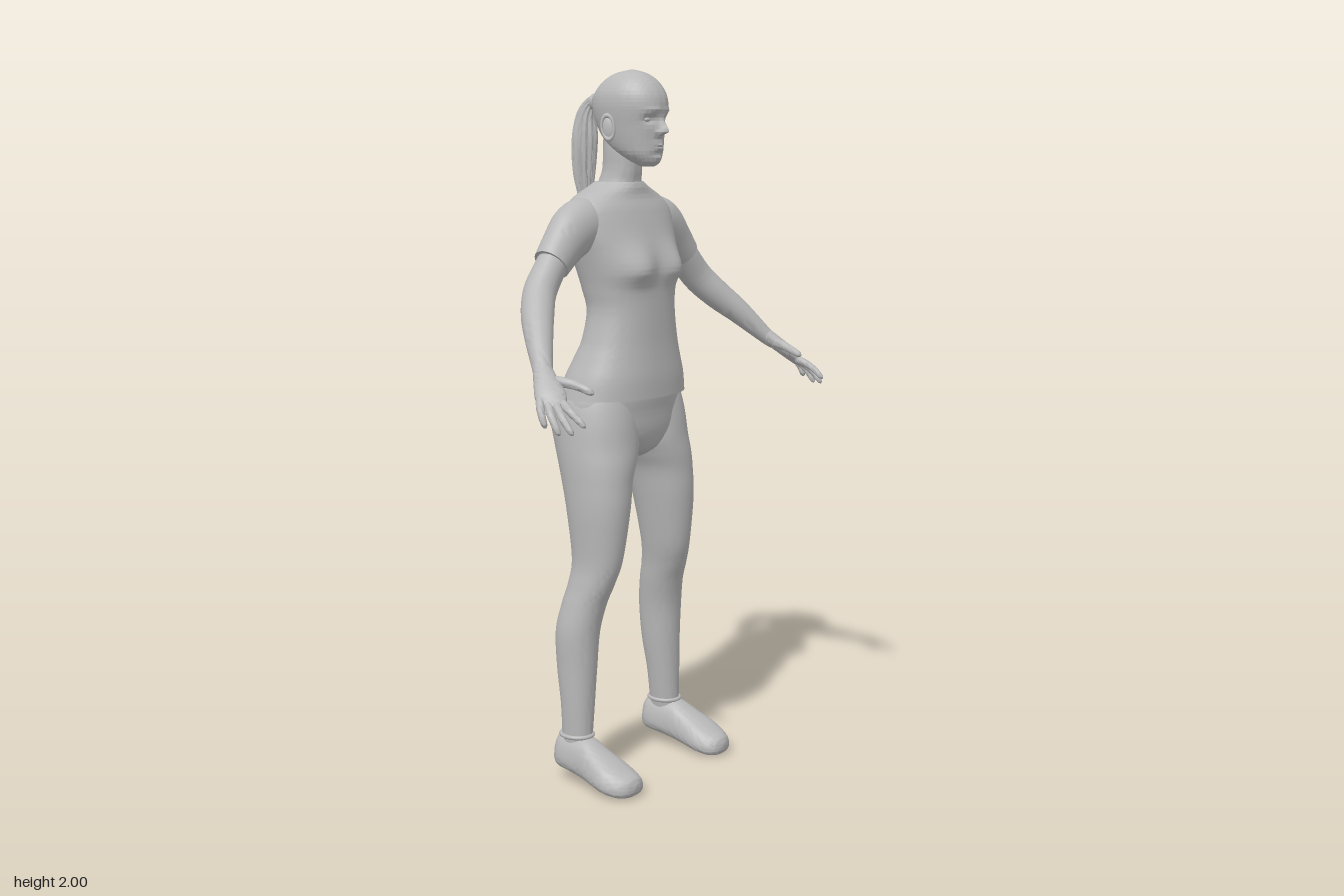
import * as THREE from 'three';
import { toCreasedNormals } from 'three/addons/utils/BufferGeometryUtils.js';

const clay = new THREE.MeshStandardMaterial({ color: 0xb8b8b8, side: THREE.DoubleSide });
clay.name = 'clay grey';

// Catmull-Rom interpolation of whole rows of numbers, t in 0..1
function sample(rows, t) {
  const f = t * (rows.length - 1), i = Math.min(Math.floor(f), rows.length - 2), u = f - i;
  const p = k => rows[Math.max(0, Math.min(rows.length - 1, k))];
  return rows[0].map((_, c) => {
    const a = p(i - 1)[c], b = p(i)[c], d = p(i + 1)[c], e = p(i + 2)[c];
    return b + 0.5 * u * (d - a + u * (2 * a - 5 * b + 4 * d - e + u * (3 * (b - d) + e - a)));
  });
}

// Closed, capped skin through rings; side = -1 mirrors it in x
function loft(point, around, along, side = 1) {
  const pos = [], idx = [];
  const tri = (a, b, c) => (side > 0 ? idx.push(a, b, c) : idx.push(a, c, b));
  for (let i = 0; i <= along; i++) {
    for (let j = 0; j < around; j++) {
      const p = point(i / along, (j / around) * Math.PI * 2);
      pos.push(p[0] * side, p[1], p[2]);
    }
  }
  for (let i = 0; i < along; i++) {
    for (let j = 0; j < around; j++) {
      const a = i * around + j, b = i * around + (j + 1) % around;
      tri(a, b, b + around);
      tri(a, b + around, a + around);
    }
  }
  for (const i of [0, along]) {
    const c = pos.length / 3, m = [0, 0, 0];
    for (let j = 0; j < around; j++) for (let k = 0; k < 3; k++) m[k] += pos[(i * around + j) * 3 + k] / around;
    pos.push(...m);
    for (let j = 0; j < around; j++) {
      const a = i * around + j, b = i * around + (j + 1) % around;
      i ? tri(a, b, c) : tri(b, a, c);
    }
  }
  const g = new THREE.BufferGeometry();
  g.setAttribute('position', new THREE.Float32BufferAttribute(pos, 3));
  g.setIndex(idx);
  return toCreasedNormals(g, 0.95);
}

const power = (v, n) => Math.sign(v) * Math.abs(v) ** (2 / n);

// Body of level rings: rows are [y, xInner, xOuter, zFront, zBack]
function stack(rows, { around = 40, along = 60, n = 2.1, side = 1, shape = () => 0 } = {}) {
  return loft((t, a) => {
    const [y, x0, x1, zf, zb] = sample(rows, t);
    const x = (x0 + x1) / 2 + (x1 - x0) / 2 * power(Math.sin(a), n);
    const front = Math.max(0, Math.cos(a));
    return [x, y, (zf + zb) / 2 + (zf - zb) / 2 * power(Math.cos(a), n) + Math.min(1, front * 2.5) * shape(x, y)];
  }, around, along, side);
}
const symmetric = rows => rows.map(([y, x, zf, zb]) => [y, -x, x, zf, zb]);

// Limb along a path: rows are [x, y, z, widthRadius, thicknessRadius]
function limb(rows, { ref = [-0.5, -0.1, 0.85], around = 20, along = 24, side = 1, rib = () => 1 } = {}) {
  const v = t => new THREE.Vector3(...sample(rows, t).slice(0, 3));
  return loft((t, a) => {
    const s = sample(rows, t);
    const d = v(Math.min(1, t + 0.01)).sub(v(Math.max(0, t - 0.01))).normalize();
    const n = new THREE.Vector3(...ref);
    n.addScaledVector(d, -n.dot(d)).normalize();
    const b = d.clone().cross(n), k = rib(a, t);
    const p = v(t).addScaledVector(n, Math.cos(a) * s[3] * k).addScaledVector(b, Math.sin(a) * s[4] * k);
    return [p.x, p.y, p.z];
  }, around, along, side);
}

const bump = (x, y, sx, sy) => Math.exp(-((x / sx) ** 2) - (y / sy) ** 2);

// Relief of the face: nose, eye sockets, brow, lips, chin
function face(x, y) {
  const ax = Math.abs(x);
  return 0.03 * bump(x, y - 1.832, 0.011, y > 1.832 ? 0.028 : 0.009)
    + 0.006 * bump(ax - 0.012, y - 1.828, 0.007, 0.007)
    - 0.012 * bump(ax - 0.033, y - 1.864, 0.017, 0.012)
    + 0.005 * bump(ax - 0.03, y - 1.889, 0.025, 0.008)
    + 0.009 * bump(x, y - 1.79, 0.021, 0.011)
    - 0.006 * bump(x, y - 1.791, 0.022, 0.0025)
    - 0.004 * bump(x, y - 1.773, 0.022, 0.006)
    + 0.004 * bump(x, y - 1.757, 0.016, 0.009);
}

export function createModel() {
  const model = new THREE.Group();
  model.name = 'standing woman';
  const add = (name, geometry, parent = model) => {
    const m = new THREE.Mesh(geometry, clay);
    m.name = name;
    parent.add(m);
    return m;
  };

  // Head and neck
  add('head', stack(symmetric([
    [1.737, 0.016, 0.032, -0.005], [1.748, 0.034, 0.046, -0.03], [1.77, 0.054, 0.052, -0.075],
    [1.79, 0.063, 0.053, -0.105], [1.82, 0.071, 0.055, -0.13], [1.85, 0.077, 0.058, -0.147],
    [1.88, 0.082, 0.064, -0.158], [1.91, 0.084, 0.066, -0.161], [1.94, 0.079, 0.057, -0.152],
    [1.97, 0.062, 0.034, -0.125], [1.99, 0.037, 0.002, -0.09], [2.0, 0.004, -0.035, -0.045],
  ]), { around: 128, along: 120, n: 2.1, shape: face }));
  add('neck', stack(symmetric([
    [1.63, 0.085, -0.022, -0.155], [1.69, 0.06, -0.024, -0.146], [1.73, 0.052, -0.02, -0.133],
    [1.78, 0.052, -0.02, -0.13], [1.82, 0.05, -0.03, -0.128],
  ]), { along: 24 }));

  // Ponytail with ribbed strands, tie and loose tips
  const hair = new THREE.Group();
  hair.name = 'ponytail';
  model.add(hair);
  add('hair bundle', limb([
    [0, 1.905, -0.14, 0.03, 0.026], [0, 1.915, -0.175, 0.017, 0.018], [0, 1.88, -0.203, 0.026, 0.026],
    [0, 1.81, -0.211, 0.034, 0.034], [0, 1.72, -0.214, 0.03, 0.029], [0, 1.64, -0.209, 0.018, 0.016],
    [0, 1.57, -0.205, 0.002, 0.002],
  ], { ref: [1, 0, 0], around: 72, along: 50, rib: (a, t) => 1 + 0.1 * Math.cos(12 * a + 5 * t) }), hair);
  const tie = add('hair tie', new THREE.TorusGeometry(0.018, 0.006, 10, 24), hair);
  tie.position.set(0, 1.914, -0.173);
  for (let i = 0; i < 14; i++) {
    const a = i * 2.4, y = 1.75 - 0.009 * i, r = 0.026 - 0.0012 * i;
    const x = Math.sin(a) * r, z = -0.212 + Math.cos(a) * r;
    add('loose strand', limb([
      [x * 0.8, y + 0.06, z, 0.006, 0.006], [x * 1.1, y, z, 0.006, 0.005], [x * 1.15, y - 0.05, z, 0.001, 0.001],
    ], { ref: [1, 0, 0], around: 6, along: 6 }), hair);
  }

  // T-shirt body
  add('shirt', stack(symmetric([
    [1.1, 0.213, 0.064, -0.218], [1.155, 0.2, 0.064, -0.202], [1.21, 0.178, 0.06, -0.178],
    [1.26, 0.16, 0.057, -0.157], [1.34, 0.145, 0.055, -0.146], [1.4, 0.152, 0.054, -0.16],
    [1.45, 0.163, 0.054, -0.174], [1.5, 0.176, 0.046, -0.187], [1.56, 0.192, 0.026, -0.192],
    [1.62, 0.192, 0.004, -0.188], [1.655, 0.155, -0.012, -0.176], [1.682, 0.09, -0.016, -0.165],
    [1.695, 0.066, -0.021, -0.152],
  ]), {
    around: 72, along: 90, n: 2.25,
    shape: (x, y) => 0.027 * bump(Math.abs(x) - 0.08, y - 1.455, 0.055, y > 1.455 ? 0.06 : 0.035),
  }));

  // Hips
  add('trouser hips', stack(symmetric([
    [0.925, 0.04, -0.01, -0.1], [0.95, 0.1, 0.022, -0.145], [1.0, 0.19, 0.04, -0.175],
    [1.06, 0.21, 0.045, -0.195], [1.1, 0.207, 0.05, -0.207], [1.14, 0.19, 0.05, -0.19],
  ]), { along: 30 }));

  for (const side of [1, -1]) {
    const label = side > 0 ? 'left ' : 'right ';
    const part = (name, g) => add(label + name, g);

    // Leg and shoe
    part('trouser leg', stack([
      [0.115, 0.17, 0.243, -0.035, -0.125], [0.23, 0.155, 0.248, -0.033, -0.13], [0.335, 0.142, 0.251, -0.03, -0.145],
      [0.44, 0.132, 0.253, -0.024, -0.15], [0.52, 0.12, 0.24, -0.008, -0.138], [0.58, 0.112, 0.227, 0.015, -0.125],
      [0.65, 0.098, 0.219, 0.035, -0.12], [0.785, 0.073, 0.227, 0.05, -0.14], [0.87, 0.055, 0.228, 0.05, -0.162],
      [0.92, 0.03, 0.228, 0.049, -0.18], [0.97, 0.004, 0.226, 0.044, -0.2], [1.03, 0, 0.222, 0.038, -0.218],
      [1.08, 0, 0.213, 0.03, -0.221], [1.12, 0.01, 0.198, 0.02, -0.2],
    ], { along: 80, side }));
    const shoe = [ // z, centre x, half width, top, bottom
      [-0.15, 0.206, 0.012, 0.085, 0.055], [-0.142, 0.206, 0.03, 0.125, 0.042], [-0.12, 0.206, 0.044, 0.142, 0.036],
      [-0.075, 0.208, 0.048, 0.142, 0.03], [-0.03, 0.211, 0.05, 0.138, 0.022], [0.02, 0.215, 0.058, 0.112, 0.013],
      [0.065, 0.216, 0.064, 0.09, 0.005], [0.105, 0.214, 0.056, 0.07, 0.001], [0.13, 0.211, 0.038, 0.057, 0.006],
      [0.14, 0.21, 0.01, 0.04, 0.02],
    ];
    part('shoe', loft((t, a) => {
      const [z, cx, w, top, low] = sample(shoe, t);
      const s = power(Math.sin(a), 2.5);
      return [cx + w * power(Math.cos(a), 2.5) * (1 - 0.18 * s), (top + low) / 2 + (top - low) / 2 * s, z];
    }, 40, 44, side));
    const collar = part('shoe collar', new THREE.TorusGeometry(0.041, 0.006, 10, 32));
    collar.rotation.x = Math.PI / 2;
    collar.scale.y = 1.15;
    collar.position.set(side * 0.207, 0.141, -0.081);

    // Sleeve and arm
    part('sleeve', limb([
      [0.11, 1.585, -0.09, 0.06, 0.06], [0.16, 1.58, -0.09, 0.064, 0.074], [0.205, 1.56, -0.089, 0.06, 0.073],
      [0.25, 1.523, -0.088, 0.053, 0.062], [0.294, 1.48, -0.086, 0.049, 0.053],
    ], { ref: [0, 0, 1], around: 32, side }));
    part('arm', limb([
      [0.26, 1.513, -0.088, 0.043, 0.046], [0.3, 1.472, -0.085, 0.043, 0.046], [0.355, 1.41, -0.075, 0.045, 0.046],
      [0.405, 1.355, -0.04, 0.044, 0.043], [0.455, 1.3, 0.008, 0.037, 0.036], [0.51, 1.228, 0.068, 0.026, 0.024],
      [0.53, 1.205, 0.09, 0.026, 0.02],
    ], { along: 40, side }));

    // Hand
    part('palm', limb([
      [0.505, 1.235, 0.062, 0.024, 0.022], [0.53, 1.205, 0.095, 0.032, 0.021],
      [0.552, 1.173, 0.13, 0.04, 0.018], [0.564, 1.148, 0.153, 0.032, 0.011],
    ], { side }));
    const fingers = {
      'index finger': [[0.543, 1.158, 0.16], [0.555, 1.105, 0.246]],
      'middle finger': [[0.556, 1.158, 0.148], [0.58, 1.087, 0.226]],
      'ring finger': [[0.567, 1.159, 0.133], [0.592, 1.085, 0.193]],
      'little finger': [[0.576, 1.166, 0.117], [0.598, 1.1, 0.152]],
      thumb: [[0.52, 1.207, 0.1], [0.484, 1.178, 0.214]],
    };
    for (const [name, [p, q]] of Object.entries(fingers)) {
      const thumb = name === 'thumb', bend = thumb ? -0.008 : 0.008;
      const at = (u, r) => [p[0] + (q[0] - p[0]) * u + bend * u * (1 - u) * 4,
        p[1] + (q[1] - p[1]) * u + 0.006 * u * (1 - u) * 4, p[2] + (q[2] - p[2]) * u, r, r];
      const k = thumb ? 1.2 : 1;
      part(name, limb([at(0, 0.012 * k), at(0.33, 0.011 * k), at(0.66, 0.0095 * k), at(0.92, 0.0075 * k), at(1, 0.002)],
        { around: 12, along: 14, side }));
    }

    // Eye and ear
    const eye = part('eye', new THREE.SphereGeometry(0.011, 20, 14));
    eye.scale.set(1.25, 0.7, 0.8);
    eye.position.set(side * 0.032, 1.864, 0.036);
    const ear = new THREE.Group();
    ear.name = label + 'ear';
    ear.position.set(side * 0.086, 1.843, -0.056);
    ear.rotation.set(-0.15, side * -0.35, 0);
    model.add(ear);
    add('ear bowl', new THREE.SphereGeometry(1, 20, 14), ear).scale.set(0.008, 0.032, 0.018);
    const rim = add('ear rim', new THREE.TorusGeometry(0.024, 0.005, 10, 28), ear);
    rim.rotation.y = Math.PI / 2;
    rim.scale.set(0.75, 1.35, 1);
    rim.position.x = side * 0.004;
  }
  return model;
}
